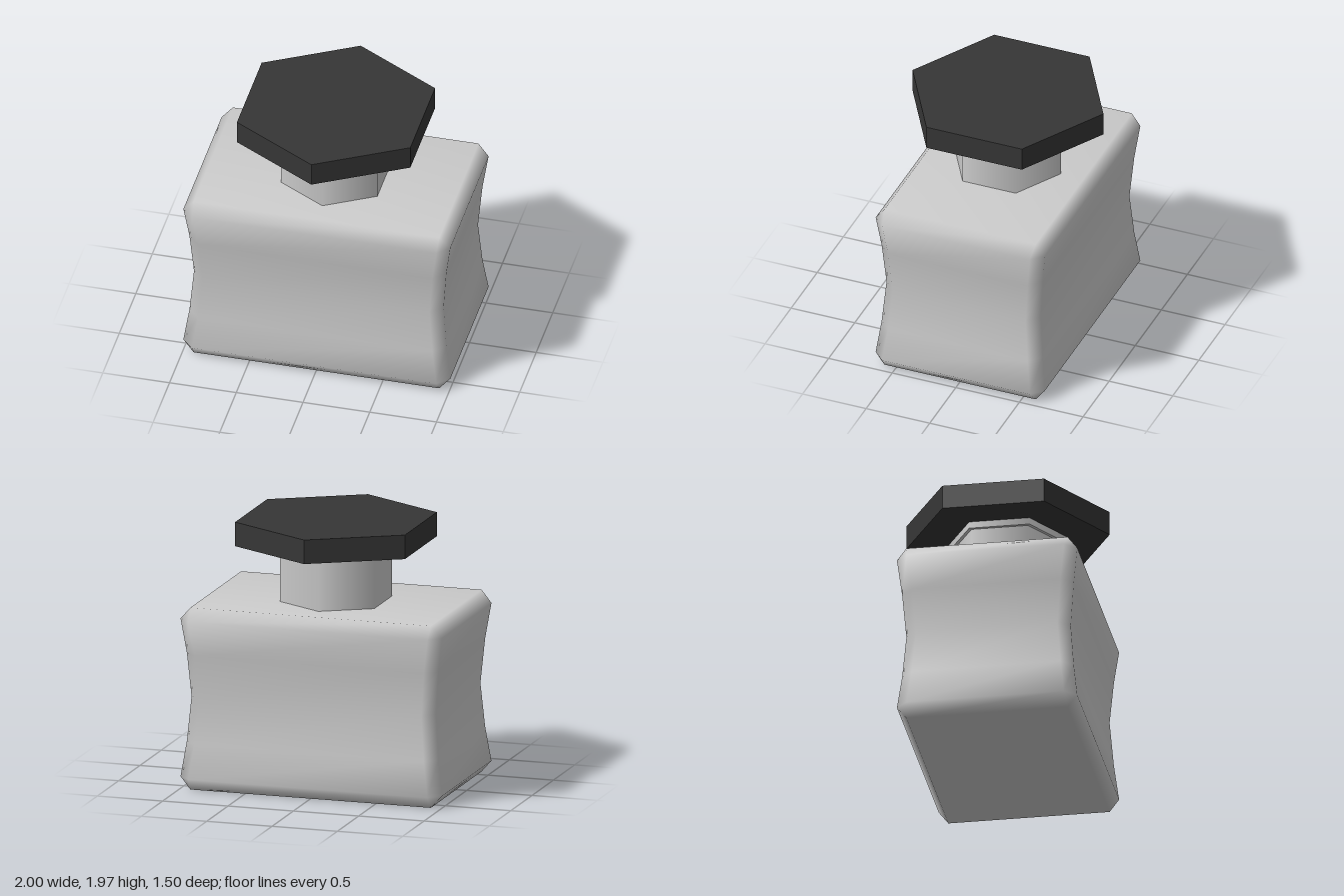
import * as THREE from 'three';
import { mergeVertices } from 'three/addons/utils/BufferGeometryUtils.js';

const glass = new THREE.MeshStandardMaterial({ color: 0xcccccc });
glass.name = 'pale grey';
const black = new THREE.MeshStandardMaterial({ color: 0x363636 });
black.name = 'charcoal';

// Waisted box with bevelled edges, lofted through [y, half width, half depth, corner cut]
function bodyGeometry() {
  const c = 0.085;
  const rings = [
    [0, 0.92, 0.595, 0],
    [0.09, 1, 0.665, c],
    [0.35, 0.962, 0.633, c],
    [0.68, 0.935, 0.606, c],
    [1.01, 0.962, 0.633, c],
    [1.27, 1, 0.665, c],
    [1.36, 0.92, 0.595, 0],
  ];
  const positions = [];
  const indices = [];
  for (const [y, w, d, k] of rings) {
    const outline = [
      [w, -d + k], [w, d - k], [w - k, d], [-w + k, d],
      [-w, d - k], [-w, -d + k], [-w + k, -d], [w - k, -d],
    ];
    for (const [x, z] of outline) positions.push(x, y, z);
  }
  const last = rings.length - 1;
  const bottom = rings.length * 8;
  positions.push(0, 0, 0, 0, rings[last][0], 0);
  for (let i = 0; i < 8; i++) {
    const n = (i + 1) % 8;
    for (let j = 0; j < last; j++) {
      const a = j * 8 + i, b = j * 8 + n;
      indices.push(a, a + 8, b, b, a + 8, b + 8);
    }
    indices.push(bottom, i, n, bottom + 1, last * 8 + n, last * 8 + i);
  }
  let geometry = new THREE.BufferGeometry();
  geometry.setAttribute('position', new THREE.Float32BufferAttribute(positions, 3));
  geometry.setIndex(indices);
  geometry = mergeVertices(geometry);
  geometry.computeVertexNormals();
  return geometry;
}

// Upright hexagonal prism with a corner towards +z
function hexPrism(name, radius, y0, y1, material, smooth) {
  let geometry = new THREE.CylinderGeometry(radius, radius, y1 - y0, 6);
  if (!smooth) {
    geometry = geometry.toNonIndexed();
    geometry.computeVertexNormals();
  }
  const mesh = new THREE.Mesh(geometry, material);
  mesh.name = name;
  mesh.position.y = (y0 + y1) / 2;
  return mesh;
}

export function createModel() {
  const group = new THREE.Group();
  group.name = 'bottle';

  const body = new THREE.Mesh(bodyGeometry(), glass);
  body.name = 'body';
  group.add(body);

  group.add(hexPrism('neck', 0.417, 1.33, 1.75, glass, true));
  group.add(hexPrism('collar', 0.444, 1.74, 1.795, glass, true));
  group.add(hexPrism('cap', 0.75, 1.79, 1.97, black, false));
  return group;
}
